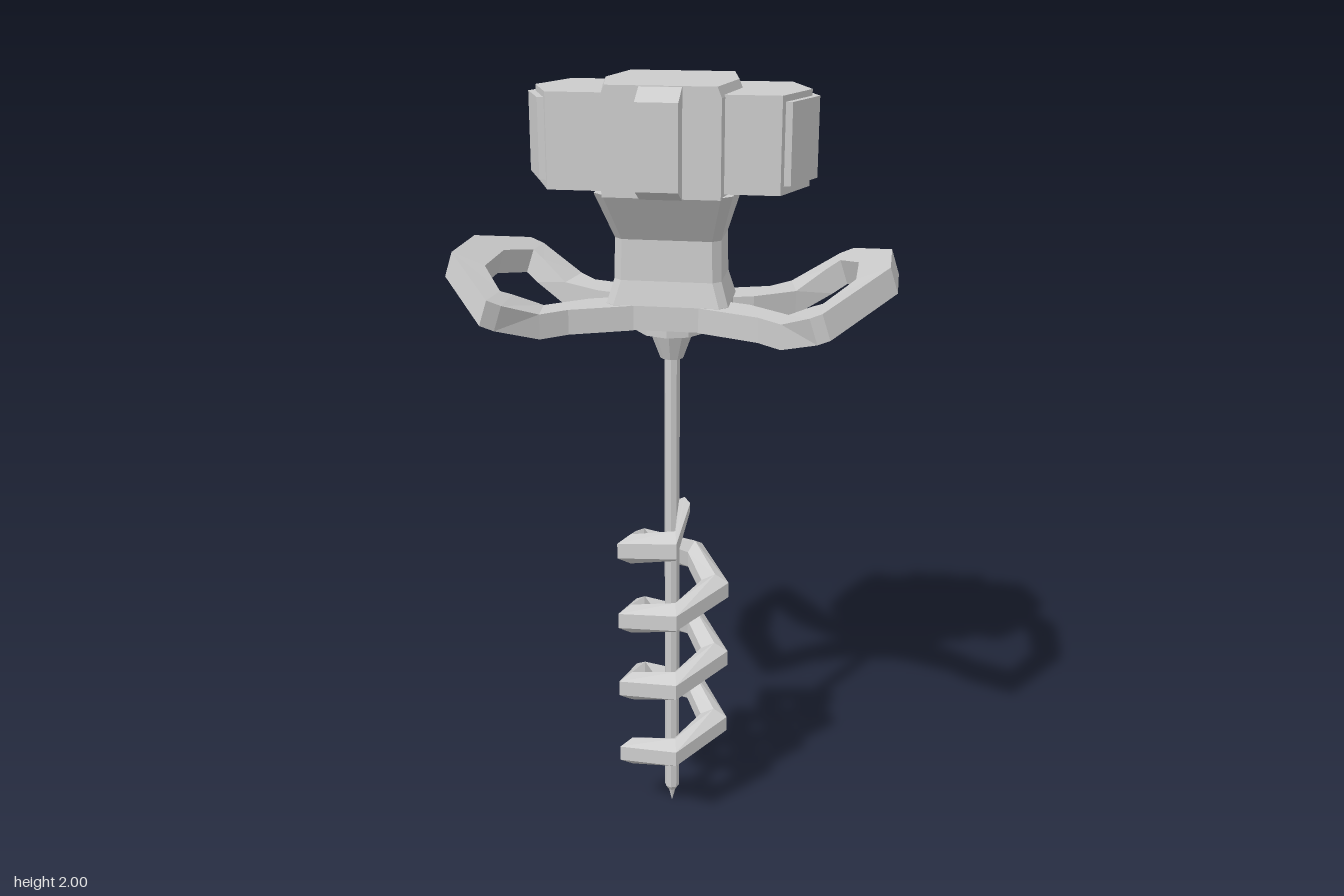
import * as THREE from 'three';

const material = new THREE.MeshStandardMaterial({ color: 0xcccccc, flatShading: true });

function add(parent, name, geometry, y = 0) {
  const mesh = new THREE.Mesh(geometry, material);
  mesh.name = name;
  mesh.position.y = y;
  parent.add(mesh);
  return mesh;
}

// Skins a row of equal-length rings, caps both ends and turns the faces outward
function loft(rings) {
  const tris = [];
  const n = rings[0].length;
  for (let i = 0; i < rings.length - 1; i++) {
    for (let j = 0; j < n; j++) {
      const k = (j + 1) % n;
      const [a, b, c, d] = [rings[i][j], rings[i][k], rings[i + 1][k], rings[i + 1][j]];
      tris.push([a, b, c], [a, c, d]);
    }
  }
  const first = rings[0], last = rings[rings.length - 1];
  for (let j = 1; j < n - 1; j++) {
    tris.push([first[0], first[j + 1], first[j]], [last[0], last[j], last[j + 1]]);
  }
  let volume = 0;
  for (const [a, b, c] of tris) volume += a.dot(b.clone().cross(c));
  const points = tris.flatMap((t) => (volume < 0 ? [t[0], t[2], t[1]] : t));
  const geometry = new THREE.BufferGeometry().setFromPoints(points);
  geometry.computeVertexNormals();
  return geometry;
}

const v = (x, y, z) => new THREE.Vector3(x, y, z);

// Hexagon in plan: corners at (x, z), side points at (tip, 0)
const hexRing = (y, x, tip, z) =>
  [[x, z], [tip, 0], [x, -z], [-x, -z], [-tip, 0], [-x, z]].map(([a, b]) => v(a, y, b));

// Rectangle in plan with cut corners
const cutRing = (y, x, z, c) =>
  [[x, z - c], [x, c - z], [x - c, -z], [c - x, -z], [-x, c - z], [-x, z - c], [c - x, z], [x - c, z]]
    .map(([a, b]) => v(a, y, b));

// Height of the handle's middle surface at a distance x from the centre
function handleHeight(x) {
  const steps = [[0, 1.44], [0.3, 1.436], [0.41, 1.497], [0.55, 1.556]];
  for (let i = 1; i < steps.length; i++) {
    const [x0, y0] = steps[i - 1], [x1, y1] = steps[i];
    if (x <= x1 || i === steps.length - 1) return y0 + ((x - x0) / (x1 - x0)) * (y1 - y0);
  }
}

function handle(side) {
  // Outer x, z and inner x, z around the loop, from front to back
  const stations = [
    [0.08, 0.10, 0.08, 0.0],
    [0.23, 0.155, 0.2, 0.04],
    [0.29, 0.205, 0.3, 0.115],
    [0.37, 0.285, 0.37, 0.175],
    [0.40, 0.303, 0.395, 0.2],
    [0.545, 0.09, 0.465, 0.08],
    [0.545, -0.11, 0.465, -0.1],
    [0.445, -0.303, 0.415, -0.21],
    [0.41, -0.303, 0.38, -0.18],
    [0.28, -0.23, 0.3, -0.12],
    [0.23, -0.16, 0.2, -0.045],
    [0.08, -0.10, 0.08, 0.0],
  ];
  return loft(stations.map(([ox, oz, ix, iz]) => {
    const corner = (x, z, up) => {
      const lean = x > 0.3 ? 0.01 : 0; // outer slab leans with its slope
      return v(side * (x - up * lean), handleHeight(x) + up * 0.031, z);
    };
    return [corner(ox, oz, 1), corner(ox, oz, -1), corner(ix, iz, -1), corner(ix, iz, 1)];
  }));
}

// Coarse spiral, five corners per turn, with a six-sided section
function spiral() {
  const path = [{ p: v(-0.015, 0.15, 0.02), s: 0.5, a: 149 }];
  for (let i = 0; i <= 16; i++) {
    const a = 149 - 72 * i, r = THREE.MathUtils.degToRad(a);
    path.push({ p: v(0.118 * Math.cos(r), 0.187 + 0.041 * i, 0.118 * Math.sin(r)), s: 1, a });
  }
  path.push({ p: v(0.035, 0.915, 0.01), s: 0.55, a: 77 - 72 * 15 - 40 });
  path[path.length - 1].a = path[path.length - 2].a - 40;
  return loft(path.map(({ p, s, a }) => {
    const r = THREE.MathUtils.degToRad(a);
    return [[1, 0.5], [0, 1], [-1, 0.5], [-1, -0.5], [0, -1], [1, -0.5]].map(([u, w]) =>
      v(p.x + u * s * 0.037 * Math.cos(r), p.y + w * s * 0.042, p.z + u * s * 0.037 * Math.sin(r)));
  }));
}

export function createModel() {
  const model = new THREE.Group();
  model.name = 'earthAuger';

  // Engine housing
  const engine = new THREE.Group();
  engine.name = 'engine';
  model.add(engine);
  add(engine, 'engineBlock', loft([
    hexRing(1.745, 0.14, 0.17, 0.17),
    hexRing(1.975, 0.14, 0.17, 0.17),
    hexRing(2.0, 0.13, 0.16, 0.17),
  ]));
  add(engine, 'sidePods', loft([
    hexRing(1.755, 0.275, 0.332, 0.145),
    hexRing(1.98, 0.275, 0.332, 0.145),
  ]));
  add(engine, 'endPanels', loft([
    hexRing(1.775, 0.297, 0.35, 0.13),
    hexRing(1.965, 0.297, 0.35, 0.13),
  ]));
  add(engine, 'frontRib', loft([-0.05, 0.05].map((x) => [
    v(x, 1.743, 0.15), v(x, 1.743, 0.173), v(x, 1.77, 0.23),
    v(x, 1.97, 0.23), v(x, 1.998, 0.173), v(x, 1.998, 0.15),
  ])));

  // Neck flaring into the engine above and the handles below
  add(model, 'neck', loft([
    cutRing(1.409, 0.15, 0.1, 0.02),
    cutRing(1.47, 0.15, 0.1, 0.02),
    cutRing(1.53, 0.132, 0.088, 0.02),
    cutRing(1.63, 0.13, 0.085, 0.02),
    cutRing(1.75, 0.165, 0.165, 0.025),
  ]));

  // Handles
  add(model, 'leftHandle', handle(1));
  add(model, 'rightHandle', handle(-1));

  // Chuck, shaft and point
  const drill = new THREE.Group();
  drill.name = 'drill';
  model.add(drill);
  add(drill, 'collar', new THREE.CylinderGeometry(0.09, 0.09, 0.03, 10), 1.403);
  add(drill, 'chuck', new THREE.CylinderGeometry(0.06, 0.03, 0.08, 10), 1.355);
  add(drill, 'shaft', new THREE.CylinderGeometry(0.02, 0.02, 1.29, 8), 0.695);
  add(drill, 'shaftEnd', new THREE.CylinderGeometry(0.02, 0.01, 0.015, 8), 0.0425);
  add(drill, 'point', new THREE.CylinderGeometry(0.01, 0.001, 0.036, 8), 0.018);
  add(drill, 'spiral', spiral());

  return model;
}
